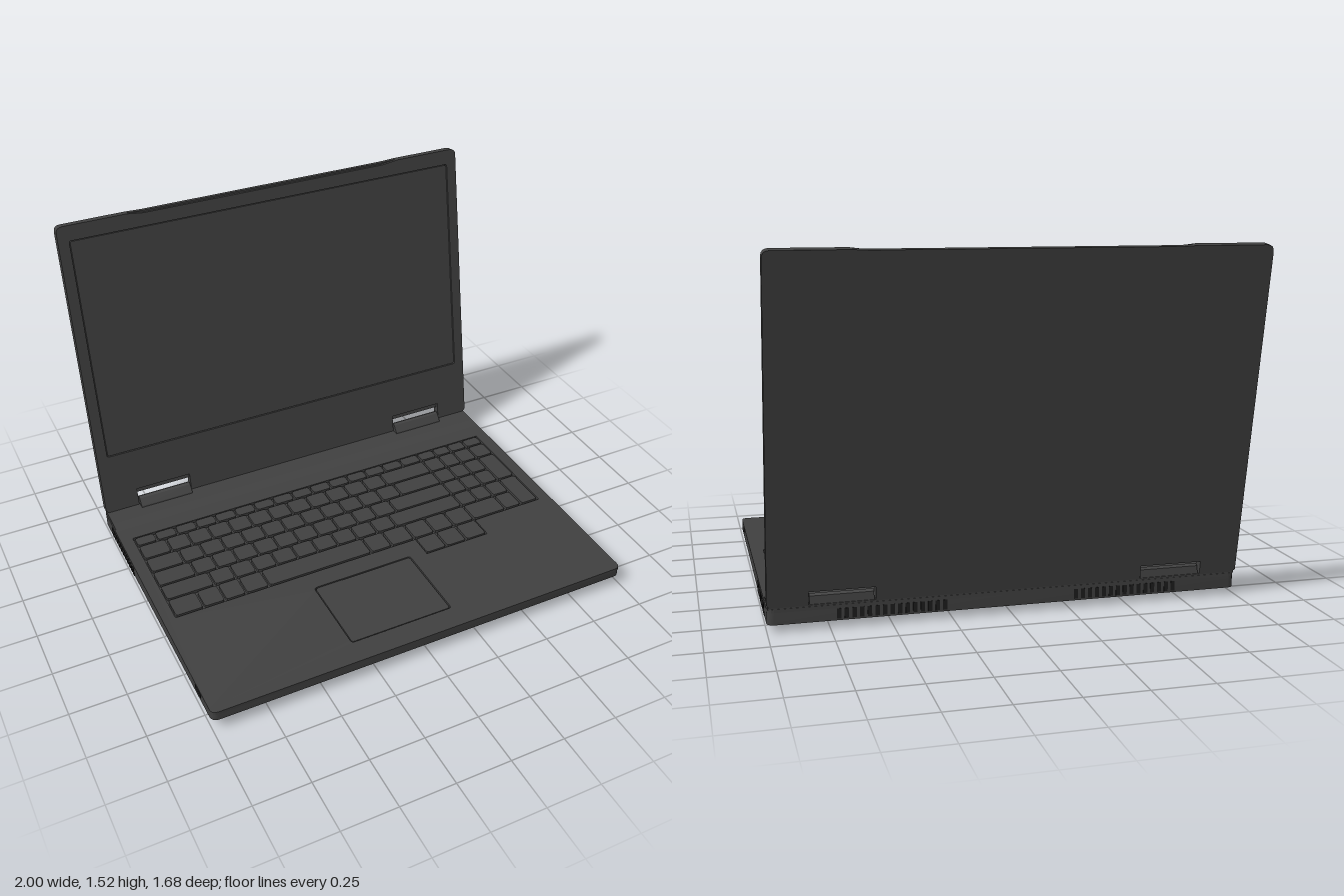
import * as THREE from 'three';
import { toCreasedNormals } from 'three/addons/utils/BufferGeometryUtils.js';

const body = new THREE.MeshStandardMaterial({ color: 0x404040 });
const dark = new THREE.MeshStandardMaterial({ color: 0x1c1c1c });

function add(parent, name, geometry, material = body) {
  const mesh = new THREE.Mesh(geometry, material);
  mesh.name = name;
  parent.add(mesh);
  return mesh;
}

// Rounded rectangle between two corners
function roundRect(x0, y0, x1, y1, r, Type = THREE.Shape) {
  const s = new Type();
  s.moveTo(x0 + r, y0);
  s.lineTo(x1 - r, y0); s.quadraticCurveTo(x1, y0, x1, y0 + r);
  s.lineTo(x1, y1 - r); s.quadraticCurveTo(x1, y1, x1 - r, y1);
  s.lineTo(x0 + r, y1); s.quadraticCurveTo(x0, y1, x0, y1 - r);
  s.lineTo(x0, y0 + r); s.quadraticCurveTo(x0, y0, x0 + r, y0);
  return s;
}

const polygon = (pts, Type = THREE.Shape) => new Type(pts.map(p => new THREE.Vector2(...p)));

function extrude(shape, depth, curveSegments = 4) {
  return new THREE.ExtrudeGeometry(shape, { depth, bevelEnabled: false, curveSegments });
}

// Horizontal slab: shape drawn as (x, -z), raised from y
const slab = (shape, y, h, seg) => extrude(shape, h, seg).rotateX(-Math.PI / 2).translate(0, y, 0);

// Profile of (z, y) points swept along x
const sweepX = (pts, x, w) => extrude(polygon(pts), w).rotateY(-Math.PI / 2).translate(x + w / 2, 0, 0);

// Tray shell: rounded rings stacked from the bottom centre to the top centre
function hullGeometry() {
  const sideY = z => 0.03 + 0.02 * Math.max(0, (z - 0.6) / 0.24);
  const rings = [
    [0, 0.06, 0.06, 0, () => 0.012],
    [0.88, -0.53, 0.65, 0.06, () => 0.012],
    [1, -0.597, 0.84, 0.03, sideY],
    [1, -0.597, 0.84, 0.03, () => 0.08],
    [0, 0.06, 0.06, 0, () => 0.08],
  ];
  const steps = 5, n = steps * 4, pos = [], index = [];
  for (const [hx, zb, zf, r, y] of rings) {
    for (let q = 0; q < 4; q++) {
      for (let k = 0; k < steps; k++) {
        const t = (q + k / (steps - 1)) * Math.PI / 2;
        const cx = (q === 0 || q === 3 ? 1 : -1) * (hx - r);
        const cz = q < 2 ? zf - r : zb + r;
        const z = cz + r * Math.sin(t);
        pos.push(cx + r * Math.cos(t), y(z), z);
      }
    }
  }
  for (let i = 0; i < rings.length - 1; i++) {
    for (let j = 0; j < n; j++) {
      const a = i * n + j, b = i * n + (j + 1) % n;
      index.push(a, a + n, b, b, a + n, b + n);
    }
  }
  const g = new THREE.BufferGeometry();
  g.setAttribute('position', new THREE.Float32BufferAttribute(pos, 3));
  g.setIndex(index);
  return toCreasedNormals(g, 0.5);
}

function buildBase() {
  const base = new THREE.Group();
  base.name = 'base';
  add(base, 'bottomTray', hullGeometry());

  // Deck with keyboard well and touchpad opening
  const deck = roundRect(-1, -0.84, 1, 0.597, 0.03);
  deck.holes.push(
    polygon([[-0.942, 0.337], [0.942, 0.337], [0.942, -0.255], [0.577, -0.255],
      [0.577, -0.368], [0.25, -0.368], [0.25, -0.255], [-0.942, -0.255]], THREE.Path),
    roundRect(-0.32, -0.73, 0.17, -0.35, 0.015, THREE.Path));
  add(base, 'deck', slab(deck, 0.08, 0.015));
  add(base, 'touchpad', slab(roundRect(-0.315, -0.725, 0.165, -0.355, 0.012), 0.08, 0.013));
  add(base, 'rearRise', sweepX([[-0.41, 0.094], [-0.47, 0.102], [-0.595, 0.102], [-0.595, 0.094]], 0, 1.99));

  // Vents on both sides and at the back
  for (const s of [-1, 1]) {
    for (let i = 0; i < 11; i++) {
      add(base, 'sideVent', new THREE.BoxGeometry(0.006, 0.048, 0.018), dark)
        .position.set(s * 0.9985, 0.056, -0.16 - i * 0.031);
    }
    for (let i = 0; i < 15; i++) {
      add(base, 'rearVent', new THREE.BoxGeometry(0.018, 0.042, 0.006), dark)
        .position.set(s * (0.28 + i * 0.031), 0.058, -0.5955);
    }
    add(base, 'sidePort', new THREE.BoxGeometry(0.006, 0.024, 0.065), dark)
      .position.set(s * 0.9985, 0.077, 0.685);

    // Diagonal rubber feet
    for (const [z, dir] of [[0.595, 1], [-0.43, -1]]) {
      const foot = add(base, 'foot', slab(roundRect(-0.085, -0.022, 0.085, 0.022, 0.02), 0, 0.02));
      foot.position.set(s * 0.82, 0, z);
      foot.rotation.y = -s * dir * 0.6;
    }
  }
  return base;
}

function buildKeyboard() {
  const keys = new THREE.Group();
  keys.name = 'keyboard';
  const gap = 0.005;
  const key = (x0, x1, z0, z1) =>
    add(keys, 'key', slab(roundRect(x0 + gap, -z1 + gap, x1 - gap, -z0 - gap, 0.012), 0.079, 0.0165, 2));
  const rowZ = [-0.335, -0.27, -0.168, -0.067, 0.035, 0.135, 0.25];
  const pad = [0.577, 0.668, 0.755, 0.845, 0.94];

  // Main block: first key width, pitch and number of regular keys, last key fills up
  const rows = [[0.1, 0.101, 13], [0.135, 0.103, 11], [0.16, 0.103, 11], [0.18, 0.103, 10], [0.23, 0.103, 9]];
  rows.forEach(([first, pitch, count], r) => {
    let x = -0.94 + first;
    key(-0.94, x, rowZ[r], rowZ[r + 1]);
    for (let i = 0; i < count; i++, x += pitch) key(x, x + pitch, rowZ[r], rowZ[r + 1]);
    key(x, 0.577, rowZ[r], rowZ[r + 1]);
  });

  // Bottom row with the space bar, then the arrow block
  const low = [-0.94, -0.805, -0.703, -0.603, -0.492, 0.025, 0.132, 0.25, 0.36, 0.467, 0.577];
  for (let i = 0; i < low.length - 1; i++) key(low[i], low[i + 1], rowZ[5], rowZ[6]);
  for (let i = 7; i < 10; i++) key(low[i], low[i + 1], 0.25, 0.365);

  // Number pad with two tall keys and a wide zero
  for (let r = 0; r < 5; r++) for (let c = 0; c < 3; c++) key(pad[c], pad[c + 1], rowZ[r], rowZ[r + 1]);
  key(pad[0], pad[2], rowZ[5], rowZ[6]);
  key(pad[2], pad[3], rowZ[5], rowZ[6]);
  for (const [a, b] of [[0, 1], [1, 2], [2, 4], [4, 6]]) key(pad[3], pad[4], rowZ[a], rowZ[b]);
  return keys;
}

// Lid outline with hinge notches along the bottom and a dip in the top edge
function lidOutline(notch, dip) {
  const H = 1.43, r = 0.03, s = new THREE.Shape();
  s.moveTo(-1, 0.012);
  s.lineTo(-0.988, 0);
  for (const [a, b] of [[-0.835, -0.565], [0.565, 0.835]]) {
    s.lineTo(a, 0); s.lineTo(a, notch); s.lineTo(b, notch); s.lineTo(b, 0);
  }
  s.lineTo(0.988, 0); s.lineTo(1, 0.012);
  s.lineTo(1, H - r); s.quadraticCurveTo(1, H, 1 - r, H);
  s.lineTo(0.68, H); s.lineTo(0.6, H - dip); s.lineTo(-0.6, H - dip); s.lineTo(-0.68, H);
  s.lineTo(-1 + r, H); s.quadraticCurveTo(-1, H, -1, H - r);
  return s;
}

function buildLid() {
  const lid = new THREE.Group();
  lid.name = 'lid';
  add(lid, 'lidBack', extrude(lidOutline(0.06, 0.003), 0.026));
  const bezel = lidOutline(0.085, 0.01);
  bezel.holes.push(roundRect(-0.95, 0.29, 0.95, 1.36, 0.01, THREE.Path));
  add(lid, 'bezel', extrude(bezel, 0.016).translate(0, 0, 0.026));
  add(lid, 'screen', extrude(roundRect(-0.946, 0.294, 0.946, 1.356, 0.01), 0.014).translate(0, 0, 0.025));
  lid.position.set(0, 0.1, -0.597);
  lid.rotation.x = -0.1707;
  return lid;
}

export function createModel() {
  const model = new THREE.Group();
  model.name = 'laptop';
  model.add(buildBase(), buildKeyboard(), buildLid());
  for (const s of [-1, 1]) {
    add(model, 'hinge', sweepX(
      [[-0.528, 0.095], [-0.532, 0.108], [-0.558, 0.138], [-0.572, 0.143], [-0.585, 0.135], [-0.592, 0.095]],
      s * 0.7, 0.26));
  }
  return model;
}
